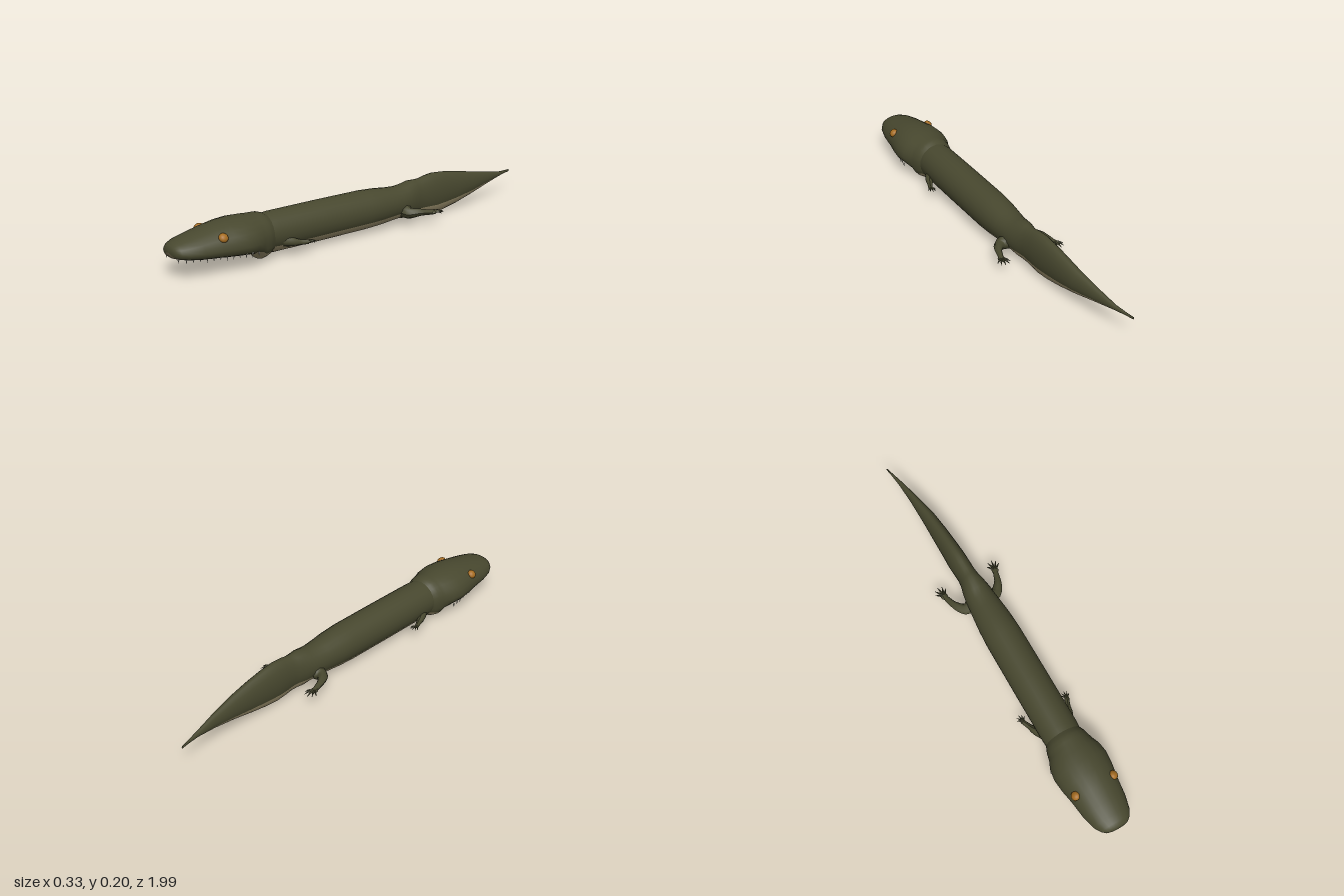
import * as THREE from 'three';

const mat = (name, color, side = THREE.FrontSide) => {
  const m = new THREE.MeshStandardMaterial({ color, side });
  m.name = name;
  return m;
};

// Lofts rings [z, centreX, halfWidth, top, middle, bottom] running from front to back.
// The lower 120 degrees of each ring form material group 1; from row 'split' on, group 2.
function loft(rows, lowerPower = 1, split = Infinity, N = 24) {
  const pos = [], geo = new THREE.BufferGeometry();
  for (const [z, cx, rx, top, mid, bot] of rows) {
    for (let j = 0; j < N; j++) {
      const a = (j / N) * Math.PI * 2, s = Math.sin(a);
      const y = s >= 0 ? mid + s * (top - mid) : mid - Math.pow(-s, lowerPower) * (mid - bot);
      pos.push(cx + Math.cos(a) * rx, y, z);
    }
  }
  const sets = [[], [], []];
  for (let i = 0; i < rows.length - 1; i++) {
    for (let j = 0; j < N; j++) {
      const k = (j + 1) % N;
      const a = i * N + j, b = i * N + k, c = b + N, d = a + N;
      const belly = j >= (N * 7) / 12 && j < (N * 11) / 12;
      sets[belly ? (i >= split ? 2 : 1) : 0].push(a, d, b, d, c, b);
    }
  }
  geo.setAttribute('position', new THREE.Float32BufferAttribute(pos, 3));
  geo.setIndex(sets.flat());
  let start = 0;
  sets.forEach((s, i) => {
    if (s.length) geo.addGroup(start, s.length, i);
    start += s.length;
  });
  geo.computeVertexNormals();
  return geo;
}

// Tube along points whose radius eases through a list of radii.
function taperedTube(points, radii, sides = 8, steps = 12) {
  const curve = new THREE.CatmullRomCurve3(points.map((p) => new THREE.Vector3(...p)));
  const geo = new THREE.TubeGeometry(curve, steps, 1, sides);
  const p = geo.attributes.position, v = new THREE.Vector3();
  for (let i = 0; i <= steps; i++) {
    const t = (i / steps) * (radii.length - 1), k = Math.min(Math.floor(t), radii.length - 2);
    const r = THREE.MathUtils.lerp(radii[k], radii[k + 1], t - k);
    const c = curve.getPointAt(i / steps);
    for (let j = 0; j <= sides; j++) {
      const n = i * (sides + 1) + j;
      v.fromBufferAttribute(p, n).sub(c).multiplyScalar(r).add(c);
      p.setXYZ(n, v.x, v.y, v.z);
    }
  }
  geo.computeVertexNormals();
  return geo;
}

export function createModel() {
  const model = new THREE.Group();
  const skin = mat('olive skin', 0x48482f);
  const belly = mat('tan belly', 0x9a8e6c);
  const jaw = mat('brown jaw', 0x6a6148);
  const amber = mat('amber eye', 0xa56c20);
  const ivory = mat('ivory teeth', 0xd2cfc0);

  const add = (parent, name, geo, material) => {
    const m = new THREE.Mesh(geo, material);
    m.name = name;
    parent.add(m);
    return m;
  };

  // Body and tail
  add(model, 'bodyAndTail', loft([
    [0.6, 0, 0.08, 0.18, 0.1, 0.025],
    [0.5, 0, 0.086, 0.191, 0.102, 0.013],
    [0.25, 0, 0.086, 0.192, 0.102, 0.012],
    [0, 0, 0.085, 0.191, 0.102, 0.013],
    [-0.08, 0, 0.081, 0.186, 0.101, 0.016],
    [-0.15, 0, 0.074, 0.178, 0.1, 0.022],
    [-0.2, 0, 0.068, 0.175, 0.1, 0.025],
    [-0.24, 0, 0.064, 0.18, 0.1, 0.02],
    [-0.28, 0, 0.056, 0.189, 0.1, 0.013],
    [-0.31, 0, 0.048, 0.188, 0.1, 0.014],
    [-0.34, 0, 0.044, 0.188, 0.1, 0.014],
    [-0.38, -0.002, 0.044, 0.196, 0.1, 0.009],
    [-0.43, -0.004, 0.044, 0.2, 0.1, 0.005],
    [-0.49, -0.006, 0.041, 0.195, 0.1, 0.01],
    [-0.58, -0.01, 0.037, 0.18, 0.1, 0.026],
    [-0.68, -0.016, 0.031, 0.16, 0.1, 0.049],
    [-0.8, -0.031, 0.019, 0.136, 0.102, 0.074],
    [-0.9, -0.047, 0.01, 0.114, 0.102, 0.091],
    [-0.96, -0.06, 0.005, 0.109, 0.102, 0.096],
    [-0.995, -0.068, 0.003, 0.107, 0.101, 0.096],
    [-1, -0.069, 0.0002, 0.102, 0.101, 0.1],
  ]), [skin, belly]);

  // Head with flat mouth underside and swollen throat
  add(model, 'head', loft([
    [0.993, 0, 0.0005, 0.116, 0.115, 0.114],
    [0.991, 0, 0.03, 0.13, 0.114, 0.098],
    [0.985, 0, 0.052, 0.141, 0.113, 0.09],
    [0.97, 0, 0.07, 0.151, 0.111, 0.085],
    [0.94, 0, 0.088, 0.162, 0.108, 0.078],
    [0.88, 0, 0.103, 0.176, 0.106, 0.069],
    [0.8, 0, 0.113, 0.193, 0.105, 0.06],
    [0.74, 0, 0.124, 0.202, 0.104, 0.054],
    [0.68, 0, 0.13, 0.205, 0.103, 0.048],
    [0.63, 0, 0.122, 0.203, 0.102, 0.042],
    [0.595, 0, 0.107, 0.201, 0.101, 0.025],
    [0.575, 0, 0.101, 0.201, 0.101, 0.001],
    [0.555, 0, 0.096, 0.2, 0.101, 0.004],
    [0.54, 0, 0.09, 0.195, 0.101, 0.01],
    [0.52, 0, 0.08, 0.185, 0.101, 0.02],
  ], 0.75, 9), [skin, jaw, belly]);

  for (const s of [1, -1]) {
    const side = s > 0 ? 'left' : 'right';

    // Eye
    const eye = add(model, side + 'Eye', new THREE.SphereGeometry(0.021, 14, 10), amber);
    eye.position.set(s * 0.094, 0.157, 0.79);
    eye.rotation.z = -s * 0.75;
    eye.scale.set(1, 0.75, 1);

    // Row of teeth along the jaw edge
    const teeth = new THREE.Group();
    teeth.name = side + 'Teeth';
    model.add(teeth);
    for (let i = 0; i < 13; i++) {
      const t = i / 12, len = 0.02 + 0.008 * ((i * 5) % 3) / 2;
      const tooth = add(teeth, 'tooth', new THREE.ConeGeometry(0.0045, len, 6), ivory);
      tooth.position.set(
        s * (0.046 + 0.072 * Math.pow(t, 0.65)),
        0.088 - 0.023 * t - len * 0.2,
        0.975 - 0.34 * t,
      );
      tooth.rotation.set(Math.PI, 0, s * 0.12);
    }

    // Legs: path, radii, foot position, heading and toe length
    const legs = [
      ['FrontLeg', [[0.06, 0.07, 0.47], [0.085, 0.064, 0.435], [0.098, 0.06, 0.405], [0.111, 0.059, 0.375]],
        [0.026, 0.02, 0.012, 0.01], 0.1, 0.034],
      ['HindLeg', [[0.04, 0.07, -0.215], [0.078, 0.064, -0.215], [0.11, 0.068, -0.25], [0.132, 0.062, -0.315]],
        [0.036, 0.024, 0.015, 0.011], 0.15, 0.05],
    ];
    for (const [name, path, radii, heading, toe] of legs) {
      const leg = new THREE.Group();
      leg.name = side + name;
      model.add(leg);
      const pts = path.map(([x, y, z]) => [s * x, y, z]);
      add(leg, 'limb', taperedTube(pts, radii), skin);
      const [fx, fy, fz] = pts[3];
      const palm = add(leg, 'foot', new THREE.SphereGeometry(toe * 0.33, 10, 8), skin);
      palm.position.set(fx, fy, fz);
      palm.scale.y = 0.5;
      // Five spread toes pointing backwards
      for (let k = -2; k <= 2; k++) {
        const a = heading + k * 0.4, l = toe * (1.05 - 0.06 * k * k);
        const dx = s * Math.sin(a) * l, dz = -Math.cos(a) * l;
        add(leg, 'toe', taperedTube(
          [[fx, fy, fz], [fx + dx * 0.55, fy + 0.004, fz + dz * 0.55], [fx + dx, fy - 0.002, fz + dz]],
          [toe * 0.12, toe * 0.09, 0.0008], 6, 6), skin);
      }
    }
  }
  return model;
}
